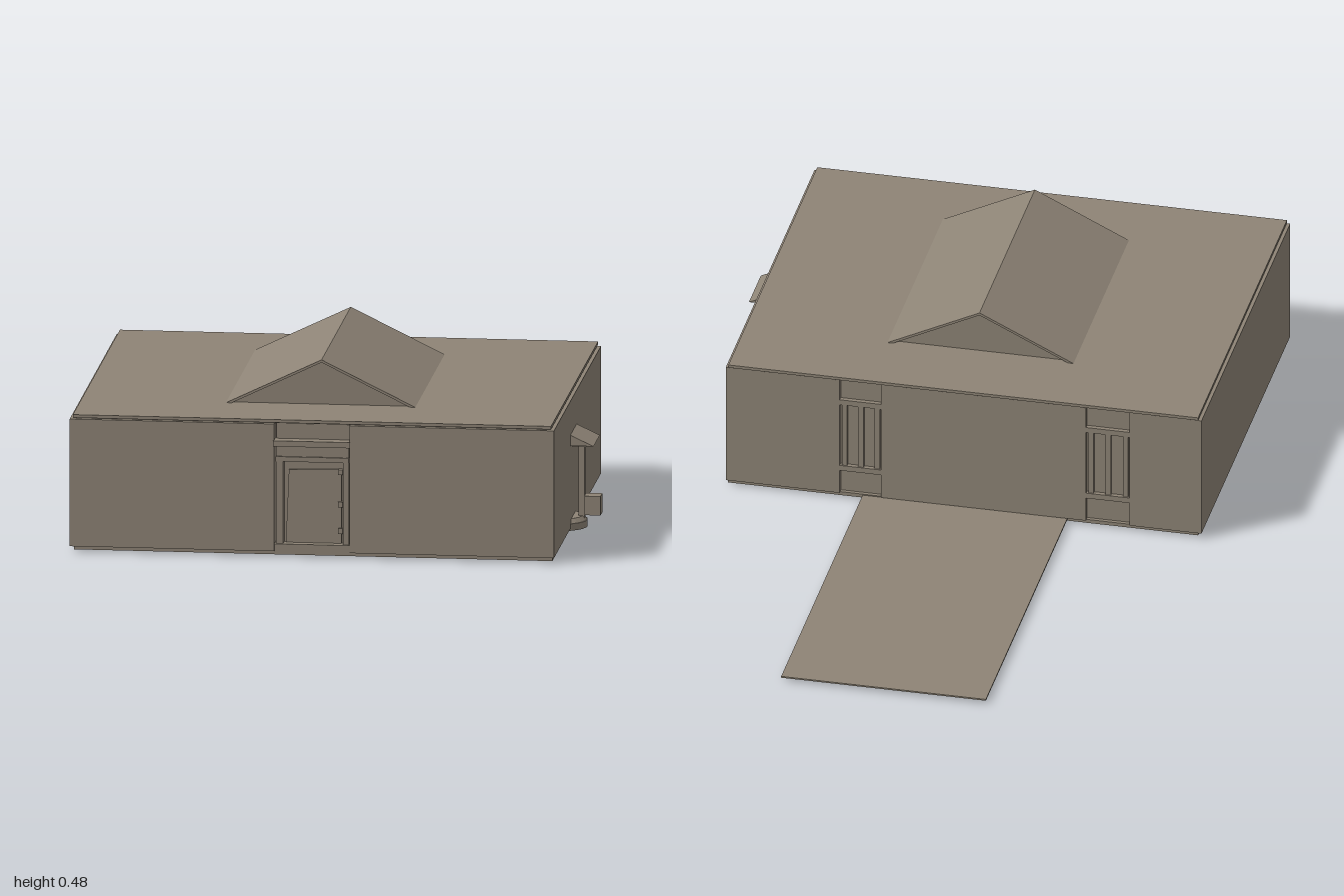
import * as THREE from 'three';

export function createModel() {
  const model = new THREE.Group();
  const stone = new THREE.MeshStandardMaterial({ color: 0x8e8476, flatShading: true });
  stone.name = 'warmGreyStone';

  const add = (name, geometry) => {
    const mesh = new THREE.Mesh(geometry, stone);
    mesh.name = name;
    model.add(mesh);
    return mesh;
  };
  // Box given by its limits on each axis
  const box = (name, x0, x1, y0, y1, z0, z1) => {
    const g = new THREE.BoxGeometry(x1 - x0, y1 - y0, z1 - z0);
    g.translate((x0 + x1) / 2, (y0 + y1) / 2, (z0 + z1) / 2);
    return add(name, g);
  };
  // Outline in x and y, extruded from z0 to z1
  const prism = (name, points, z0, z1) => {
    const s = new THREE.Shape(points.map(p => new THREE.Vector2(...p)));
    const g = new THREE.ExtrudeGeometry(s, { depth: z1 - z0, bevelEnabled: false });
    return add(name, g.translate(0, 0, z0));
  };

  // Ground pieces
  box('foundationPad', -0.375, 0.3, 0, 0.008, 0.2, 0.76);
  box('floorSlab', -0.655, 0.585, 0.006, 0.016, -0.045, 0.985);
  box('rearPath', -0.31, 0.23, 0.009, 0.013, -1, 0);

  // Walls: plan with a door bay in front and two window bays behind
  const windows = [[-0.475, -0.36], [0.18, 0.29]];
  const plan = [[-0.665, 0.99], [-0.135, 0.99], [-0.135, 0.955], [0.06, 0.955], [0.06, 0.99], [0.59, 0.99], [0.59, -0.05]];
  for (const [a, b] of [...windows].reverse()) plan.push([b, -0.05], [b, -0.035], [a, -0.035], [a, -0.05]);
  plan.push([-0.665, -0.05]);
  const shape = new THREE.Shape(plan.map(([x, z]) => new THREE.Vector2(x, -z)));
  const walls = new THREE.ExtrudeGeometry(shape, { depth: 0.335, bevelEnabled: false });
  walls.rotateX(-Math.PI / 2).translate(0, 0.015, 0);
  add('walls', walls);

  // Flat roof
  box('roofNeck', -0.65, 0.575, 0.35, 0.354, -0.04, 0.975);
  box('flatRoof', -0.657, 0.582, 0.353, 0.361, -0.055, 0.987);

  // Raised gable: a body set back under two thin roof sheets
  prism('gableBody', [[-0.27, 0.36], [0.195, 0.36], [-0.035, 0.473]], 0.16, 0.785);
  prism('gableRoof', [[-0.285, 0.36], [-0.27, 0.36], [-0.035, 0.473], [0.195, 0.36], [0.21, 0.36], [-0.035, 0.48]], 0.147, 0.797);

  // Entrance
  box('doorStep', -0.135, 0.06, 0.012, 0.034, 0.95, 0.987);
  for (const [a, b] of [[-0.132, -0.113], [0.042, 0.057]]) box('doorJamb', a, b, 0.034, 0.25, 0.95, 0.98);
  box('doorHead', -0.132, 0.057, 0.25, 0.263, 0.95, 0.983);
  box('frieze', -0.132, 0.057, 0.263, 0.293, 0.95, 0.978);
  box('lintel', -0.137, 0.062, 0.293, 0.308, 0.95, 1);
  box('transom', -0.132, 0.057, 0.308, 0.348, 0.95, 0.968);
  prism('doorLeaf', [[-0.108, 0.034], [0.036, 0.034], [0.036, 0.229], [-0.1, 0.225]], 0.95, 0.963);
  for (const y of [0.06, 0.13, 0.215]) box('hinge', 0.028, 0.04, y, y + 0.014, 0.955, 0.968);

  // Rear windows
  for (const [a, b] of windows) {
    const m = (a + b) / 2;
    box('windowSill', a, b, 0.08, 0.095, -0.047, -0.03);
    box('windowHead', a, b, 0.275, 0.29, -0.047, -0.03);
    for (const x of [a + 0.012, m, b - 0.012]) box('windowBar', x - 0.007, x + 0.007, 0.095, 0.275, -0.044, -0.03);
  }

  // Post with small gabled canopy beside the side wall
  const disc = (name, r0, r1, y0, y1) => {
    const g = new THREE.CylinderGeometry(r1, r0, y1 - y0, 24);
    add(name, g.translate(0.557, (y0 + y1) / 2, 0.56));
  };
  disc('postFoot', 0.07, 0.07, 0.008, 0.026);
  disc('postFootTop', 0.068, 0.058, 0.026, 0.037);
  box('post', 0.604, 0.62, 0.03, 0.235, 0.55, 0.567);
  box('canopyBeam', 0.58, 0.627, 0.221, 0.236, 0.535, 0.58);
  prism('canopy', [[0.525, 0.233], [0.65, 0.233], [0.5875, 0.262]], 0.488, 0.628);
  box('postBox', 0.62, 0.662, 0.04, 0.09, 0.535, 0.575);

  return model;
}
